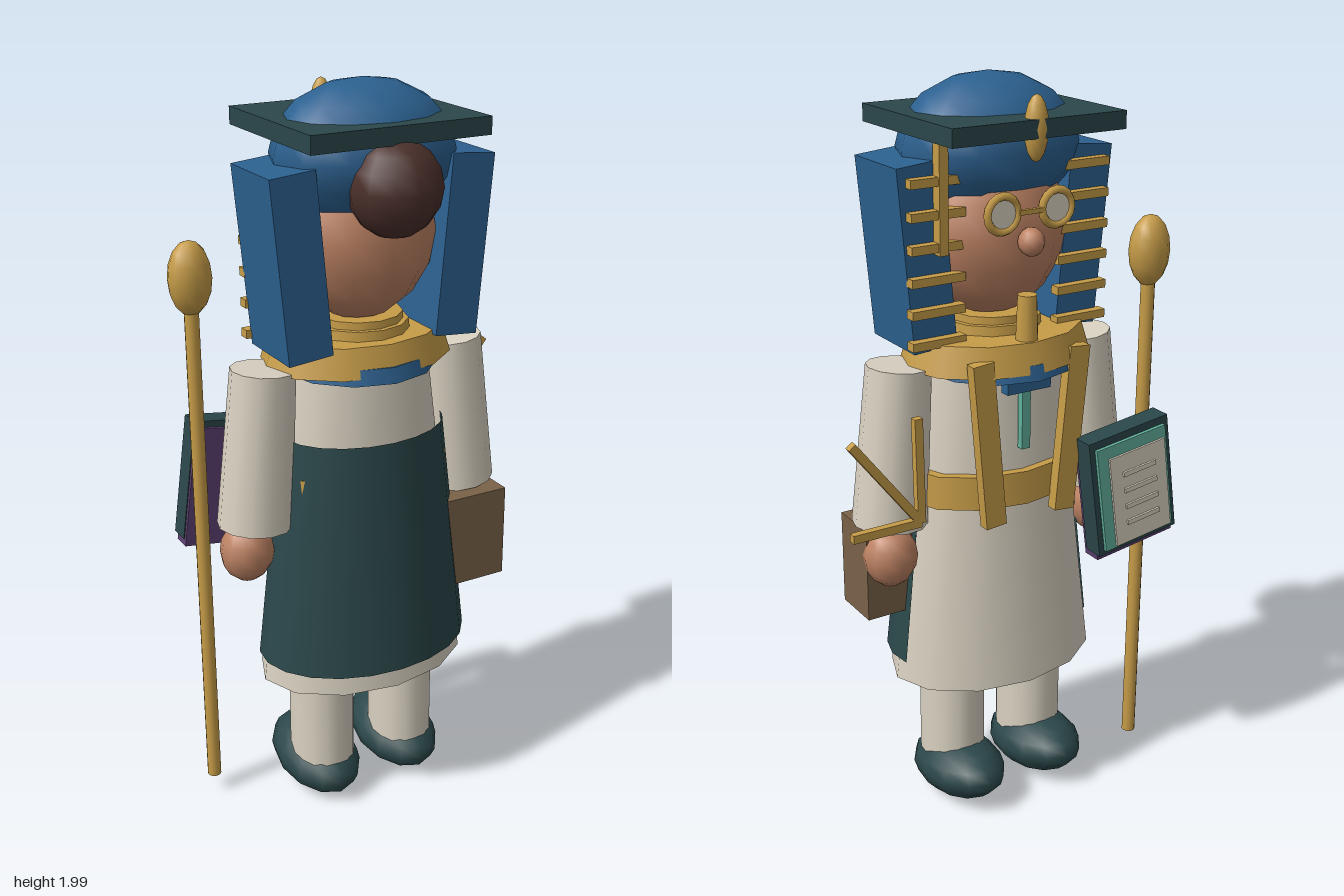
import * as THREE from 'three';

const mat = (name, color, side = THREE.FrontSide) => {
  const m = new THREE.MeshStandardMaterial({ color, side });
  m.name = name;
  return m;
};

export function createModel() {
  const root = new THREE.Group();
  const blue = mat('blue cloth', 0x2c6190);
  const green = mat('dark green', 0x2b474a, THREE.DoubleSide);
  const gold = mat('gold', 0xc69c48);
  const skin = mat('skin', 0xbd8263);
  const cream = mat('cream linen', 0xd9d1c1);
  const hair = mat('dark brown', 0x4b302b);
  const leather = mat('leather brown', 0x7a6248);
  const teal = mat('teal', 0x62b09c);
  const purple = mat('purple', 0x5b4070);

  const CX = -0.03; // body axis
  const add = (name, geo, material, x, y, z, parent = root) => {
    const m = new THREE.Mesh(geo, material);
    m.name = name;
    m.position.set(x, y, z);
    parent.add(m);
    return m;
  };
  const box = (name, material, w, h, d, x, y, z, parent) =>
    add(name, new THREE.BoxGeometry(w, h, d), material, x, y, z, parent);
  const ball = (name, material, rx, ry, rz, x, y, z) =>
    add(name, new THREE.SphereGeometry(1, 12, 8).scale(rx, ry, rz), material, x, y, z);
  // upright round part from y0 to y1, flattened in z by k
  const drum = (name, material, rTop, rBot, y0, y1, k, x, z, sides = 12) =>
    add(name, new THREE.CylinderGeometry(rTop, rBot, y1 - y0, sides).scale(1, 1, k), material, x, (y0 + y1) / 2, z);
  // bar between two points
  const bar = (name, material, a, b, w, d) => {
    const p = new THREE.Vector3(...a), q = new THREE.Vector3(...b), dir = q.clone().sub(p);
    const m = add(name, new THREE.BoxGeometry(w, dir.length(), d), material, 0, 0, 0);
    m.position.copy(p).add(q).multiplyScalar(0.5);
    m.quaternion.setFromUnitVectors(new THREE.Vector3(0, 1, 0), dir.normalize());
    return m;
  };

  // Robe, back apron and belt
  drum('robe', cream, 0.19, 0.3, 0.4, 1.3, 0.69, CX, -0.008);
  const apron = new THREE.CylinderGeometry(0.228, 0.302, 0.64, 12, 1, true, -1.8, 3.6).scale(1, 1, 0.74);
  add('apron', apron, green, CX, 0.785, 0);
  drum('belt', gold, 0.25, 0.255, 0.92, 1.01, 0.7, CX, -0.012);

  // Collar and neck rings
  drum('collarLining', blue, 0.2, 0.21, 1.27, 1.31, 0.99, CX, -0.028);
  drum('collar', gold, 0.237, 0.262, 1.287, 1.365, 0.765, CX, -0.03);
  drum('neckRing', gold, 0.128, 0.132, 1.35, 1.39, 0.95, CX, -0.01);
  drum('neck', gold, 0.113, 0.115, 1.36, 1.41, 0.95, CX, -0.01);

  // Head, cap, bun and flat board
  ball('head', skin, 0.2, 0.225, 0.165, CX, 1.62, -0.007);
  ball('cap', blue, 0.245, 0.177, 0.185, CX, 1.823, 0.01);
  ball('hairBun', hair, 0.12, 0.122, 0.118, CX, 1.762, 0.163);
  box('capBoard', green, 0.49, 0.045, 0.435, CX, 1.892, -0.012);
  ball('capOrnament', gold, 0.03, 0.08, 0.028, CX, 1.89, -0.205);
  box('hairPin', gold, 0.025, 0.27, 0.03, 0.17, 1.725, -0.1);

  // Face
  ball('nose', skin, 0.033, 0.036, 0.036, CX, 1.615, -0.19);
  drum('chinBeard', gold, 0.025, 0.03, 1.35, 1.48, 1, CX, -0.175, 10);
  box('glassesBridge', gold, 0.07, 0.012, 0.012, CX, 1.69, -0.188);

  for (const s of [-1, 1]) {
    // Glasses
    const gx = CX + s * 0.078;
    add('glassesRim', new THREE.TorusGeometry(0.043, 0.011, 6, 16), gold, gx, 1.69, -0.182);
    const lens = add('glassesLens', new THREE.CylinderGeometry(0.04, 0.04, 0.009, 16), cream, gx, 1.69, -0.182);
    lens.rotation.x = Math.PI / 2;

    // Headdress side panels with gold rungs
    const panel = box('sidePanel', blue, 0.122, 0.465, 0.21, CX + s * 0.23, 1.58, 0.02);
    panel.rotation.z = -s * 0.09;
    for (let i = 0; i < 6; i++)
      box('panelRung', gold, 0.15, 0.022, 0.03, CX + s * 0.212, 1.37 + i * 0.08, -0.095);

    // Stole strips down the chest
    bar('stoleStrip', gold, [CX + s * 0.145, 1.33, -0.19], [CX + s * 0.105, 0.885, -0.19], 0.06, 0.032);

    // Arms and hands
    const arm = drum('sleeve', cream, 0.085, 0.1, 0.875, 1.3, 0.96, CX + s * 0.295, -0.012);
    arm.rotation.z = s * 0.085;
    ball('hand', skin, 0.073, 0.085, 0.07, CX + s * 0.327, 0.792, -0.037);

    // Legs and shoes
    drum('leg', cream, 0.088, 0.088, 0.08, 0.46, 1.12, CX + s * 0.127, -0.008, 16);
    const shoe = ball('shoe', green, 0.113, 0.083, 0.172, CX + s * 0.129, 0.09, -0.047);
    shoe.rotation.x = 0.12;
  }

  // Chest pendant
  box('pendantPlate', blue, 0.13, 0.06, 0.03, CX, 1.26, -0.175);
  box('pendantTassel', teal, 0.025, 0.22, 0.02, CX, 1.18, -0.168);

  // Satchel
  box('satchel', leather, 0.19, 0.26, 0.14, 0.265, 0.74, 0.045);

  // Staff
  drum('staffPole', gold, 0.019, 0.019, 0.06, 1.46, 1, -0.444, -0.127);
  ball('staffKnob', gold, 0.058, 0.096, 0.049, -0.444, 1.525, -0.127);

  // Three-pronged sprig
  const hub = [0.3, 0.955, -0.206];
  for (const tip of [[0.305, 1.23], [0.485, 1.195], [0.49, 0.955]])
    bar('sprigProng', gold, hub, [tip[0], tip[1], -0.206], 0.022, 0.02);

  // Open tablet book
  const book = new THREE.Group();
  book.name = 'book';
  book.position.set(-0.32, 0.925, 0);
  book.rotation.z = -0.14;
  root.add(book);
  box('bookBack', purple, 0.25, 0.335, 0.055, 0, -0.014, -0.217, book);
  box('bookCover', green, 0.255, 0.335, 0.06, 0, 0.004, -0.23, book);
  box('bookPanel', teal, 0.222, 0.3, 0.012, 0, 0, -0.264, book);
  box('bookPage', cream, 0.18, 0.26, 0.008, -0.012, -0.014, -0.272, book);
  for (let i = 0; i < 4; i++)
    box('pageLine', cream, 0.105, 0.013, 0.008, -0.012, 0.06 - i * 0.048, -0.278, book);

  return root;
}
